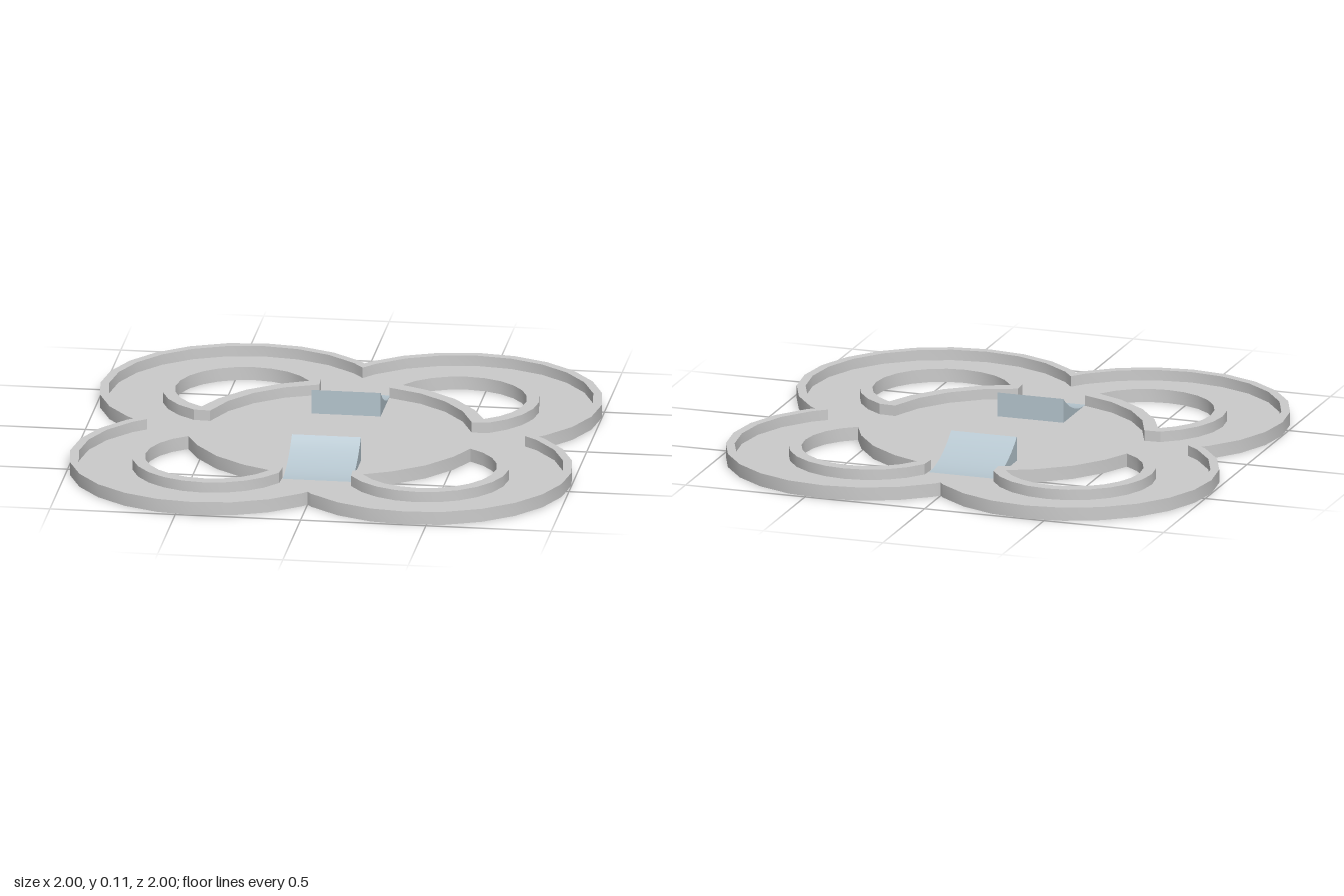
import * as THREE from 'three';
import { toCreasedNormals } from 'three/addons/utils/BufferGeometryUtils.js';

const PETAL = 0.425;            // petal centre offset along x and z
const HEIGHT = 0.055, FLOOR = 0.012, BASE = 0.001;
const STEP = 15;                // degrees per facet

const grey = new THREE.MeshStandardMaterial({ color: 0xcccccc });
const blueGrey = new THREE.MeshStandardMaterial({ color: 0xb5c5ce });

// Points on an arc, in whole facets
function arc(c, r, from, to) {
  const pts = [];
  const dir = Math.sign(to - from) * STEP;
  for (let i = 0; i <= Math.abs(to - from) / STEP; i++) {
    const a = THREE.MathUtils.degToRad(from + i * dir);
    pts.push(new THREE.Vector2(c + r * Math.cos(a), c + r * Math.sin(a)));
  }
  return pts;
}

const turn = (pts, k) =>
  pts.map(p => p.clone().rotateAround(new THREE.Vector2(), k * Math.PI / 2));

// Four-lobed outline: one lobe and its notch, turned four times
function cloverOutline(r, notch) {
  const lobe = [new THREE.Vector2(notch, 0), ...arc(PETAL, r, -45, 135)];
  return [0, 1, 2, 3].flatMap(k => turn(lobe, k));
}

// Crescent: petal circle closed by an arc of the central disc
const crescent = (r, discR, from, to) =>
  [...arc(PETAL, r, -60, 150), ...arc(0, discR, from, to)];

// Flat plate lying in xz, from BASE up to the given height
function slab(name, outline, holes, top) {
  const shape = new THREE.Shape(outline);
  shape.holes = holes.map(h => new THREE.Path(h));
  const geo = new THREE.ExtrudeGeometry(shape, { depth: top - BASE, bevelEnabled: false });
  geo.rotateX(-Math.PI / 2).translate(0, BASE, 0);
  const mesh = new THREE.Mesh(toCreasedNormals(geo, 0.4), grey);
  mesh.name = name;
  return mesh;
}

// Wedge with a concave sloping face, steep towards the centre
function ramp(name) {
  const near = 0.279, length = 0.265, top = 0.11, width = 0.275;
  const rise = top - FLOOR;
  const R = (length * length + rise * rise) / (2 * rise);
  const shape = new THREE.Shape();
  shape.moveTo(near, 0);
  shape.lineTo(near + length, 0);
  const n = 12;
  for (let i = 0; i <= n; i++) {
    const d = length * i / n;
    shape.lineTo(near + length - d, FLOOR + R - Math.sqrt(R * R - d * d));
  }
  const geo = new THREE.ExtrudeGeometry(shape, { depth: width, bevelEnabled: false });
  geo.translate(0, 0, -width / 2).rotateY(-Math.PI / 2);
  const mesh = new THREE.Mesh(toCreasedNormals(geo, 0.4), blueGrey);
  mesh.name = name;
  return mesh;
}

export function createModel() {
  const group = new THREE.Group();
  group.name = 'cloverTray';

  const outer = cloverOutline(0.575, 0.808);
  const inner = cloverOutline(0.54, 0.753);
  const wall = crescent(0.325, 0.54, 75, 15);
  const opening = crescent(0.275, 0.59, 60, 30);

  // Thin floor, raised outer rim, raised lip around each opening
  group.add(slab('floor', inner, [0, 1, 2, 3].map(k => turn(wall, k)), FLOOR));
  group.add(slab('outerRim', outer, [inner], HEIGHT));
  for (let k = 0; k < 4; k++) {
    group.add(slab('openingLip' + (k + 1), turn(wall, k), [turn(opening, k)], HEIGHT));
  }

  // Pair of ramps facing away from the centre
  const ramps = new THREE.Group();
  ramps.name = 'ramps';
  const back = ramp('backRamp');
  back.rotation.y = Math.PI;
  ramps.add(ramp('frontRamp'), back);
  ramps.position.z = -0.009;
  group.add(ramps);

  return group;
}
